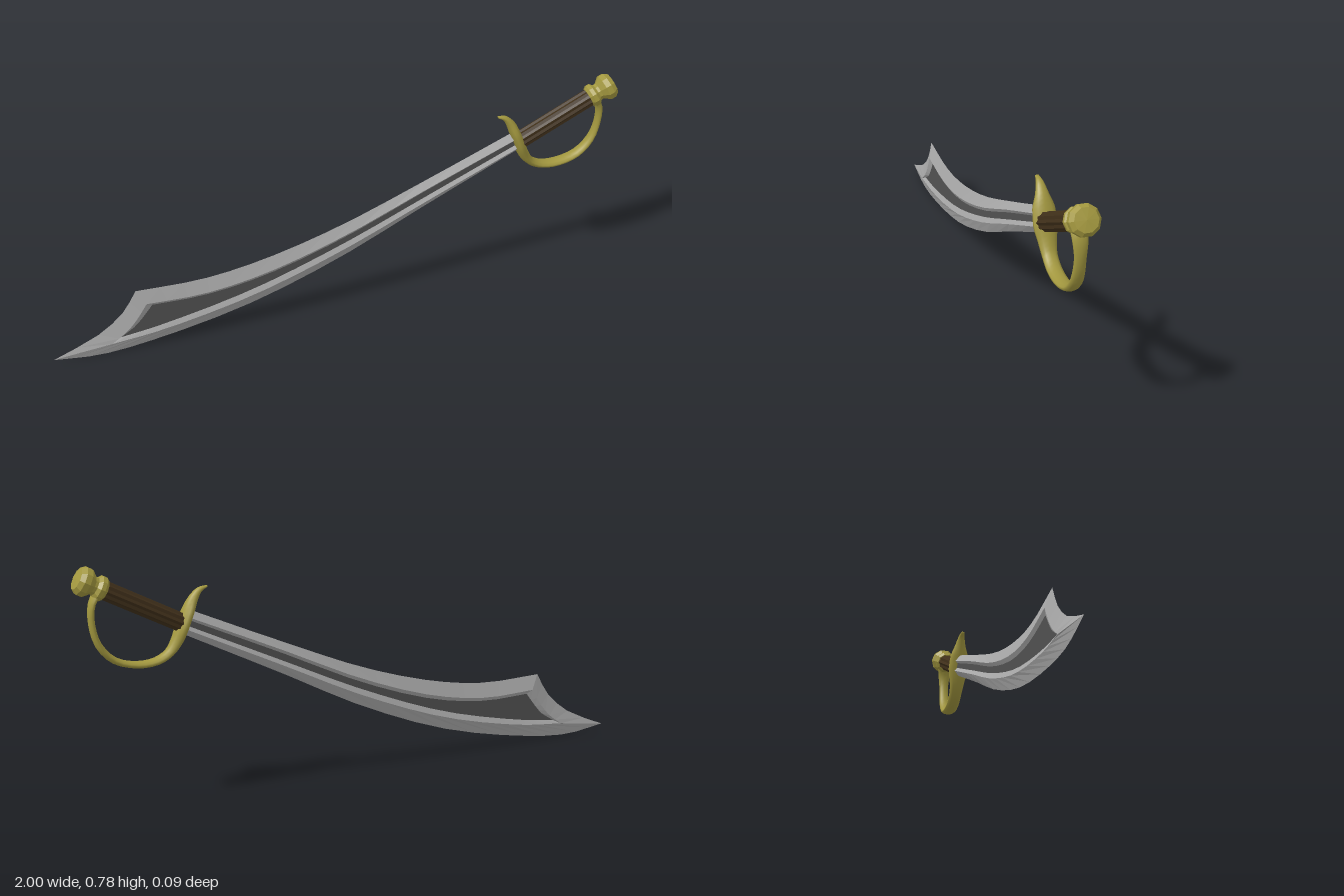
import * as THREE from 'three';

const paint = (color, extra = {}) => new THREE.MeshStandardMaterial({ color, ...extra });
const steel = paint(0xaaaaaa, { flatShading: true, side: THREE.DoubleSide });
const darkSteel = paint(0x525252, { flatShading: true });
const brass = paint(0xa3983f);
const facetedBrass = paint(0xa3983f, { flatShading: true });
const wood = paint(0x40301a, { flatShading: true });

// Hilt axis: starts at the guard and climbs towards the pommel
const HILT = new THREE.Vector3(0.661, 0.586, 0);
const HILT_ANGLE = THREE.MathUtils.degToRad(27.3);

function named(name, geometry, material) {
  const mesh = new THREE.Mesh(geometry, material);
  mesh.name = name;
  return mesh;
}

function surface(positions, index) {
  const g = new THREE.BufferGeometry();
  g.setAttribute('position', new THREE.Float32BufferAttribute(positions, 3));
  g.setIndex(index);
  g.computeVertexNormals();
  return g;
}

const curve = (pts) => new THREE.CatmullRomCurve3(pts.map(([x, y]) => new THREE.Vector3(x, y, 0)));

// Closed outline: spine (guard to corner), clipped point, cutting edge (back to guard)
function outline(spine, clip, edge) {
  const a = curve(spine).getPoints(14), b = curve(clip).getPoints(6), c = curve(edge).getPoints(16);
  return [...a.slice(0, -1), ...b.slice(0, -1), ...c];
}

function createBlade() {
  const rings = [
    { z: 0, pts: outline(
      [[0.65, 0.632], [0.33, 0.492], [0.01, 0.36], [-0.26, 0.28], [-0.47, 0.247], [-0.7, 0.25]],
      [[-0.7, 0.25], [-0.75, 0.168], [-0.84, 0.092], [-1, 0.02]],
      [[-1, 0.02], [-0.84, 0.002], [-0.63, 0.025], [-0.31, 0.098], [0.01, 0.222], [0.33, 0.385], [0.65, 0.545]]) },
    { z: 0.016, pts: outline(
      [[0.65, 0.607], [0.33, 0.465], [0.01, 0.32], [-0.26, 0.23], [-0.47, 0.195], [-0.67, 0.198]],
      [[-0.67, 0.198], [-0.71, 0.135], [-0.75, 0.09], [-0.8, 0.053]],
      [[-0.8, 0.053], [-0.63, 0.071], [-0.31, 0.143], [0.01, 0.262], [0.33, 0.414], [0.65, 0.565]]) },
    { z: 0.008, pts: outline(
      [[0.65, 0.598], [0.33, 0.454], [0.01, 0.307], [-0.26, 0.216], [-0.47, 0.182], [-0.65, 0.184]],
      [[-0.65, 0.184], [-0.69, 0.132], [-0.72, 0.1], [-0.77, 0.068]],
      [[-0.77, 0.068], [-0.63, 0.088], [-0.31, 0.163], [0.01, 0.282], [0.33, 0.429], [0.65, 0.578]]) },
  ];
  const n = rings[0].pts.length;
  const blade = new THREE.Group();
  blade.name = 'blade';

  for (const side of [1, -1]) {
    const label = side > 0 ? 'front' : 'back';
    const tri = (a, b, c) => (side > 0 ? [a, b, c] : [a, c, b]);
    // Outer bevel and sloping rim around the sunken panel
    const pos = rings.flatMap(({ z, pts }) => pts.flatMap((p) => [p.x, p.y, z * side]));
    const index = [];
    for (let r = 0; r < 2; r++) {
      for (let i = 0; i < n; i++) {
        const j = (i + 1) % n, o = r * n, q = o + n;
        index.push(...tri(o + i, o + j, q + j), ...tri(o + i, q + j, q + i));
      }
    }
    blade.add(named(label + 'Bevels', surface(pos, index), steel));
    // Dark sunken panel
    const inner = rings[2].pts;
    const faces = THREE.ShapeUtils.triangulateShape(inner.map((p) => new THREE.Vector2(p.x, p.y)), []);
    blade.add(named(label + 'Panel', surface(
      inner.flatMap((p) => [p.x, p.y, rings[2].z * side]),
      faces.flatMap(([a, b, c]) => tri(a, b, c))), darkSteel));
  }
  return blade;
}

// Guard and knuckle bow: oval sections swept along one curved path
function createGuard() {
  // x, y, half thickness, half width
  const stations = [
    [0.57, 0.694, 0.003, 0.006], [0.596, 0.684, 0.009, 0.012], [0.618, 0.657, 0.015, 0.021],
    [0.636, 0.62, 0.018, 0.035], [0.655, 0.576, 0.019, 0.038], [0.675, 0.53, 0.018, 0.029],
    [0.702, 0.493, 0.014, 0.024], [0.745, 0.47, 0.012, 0.024], [0.81, 0.466, 0.011, 0.024],
    [0.88, 0.488, 0.011, 0.022], [0.927, 0.54, 0.011, 0.02], [0.946, 0.61, 0.01, 0.018],
    [0.942, 0.672, 0.01, 0.024], [0.918, 0.712, 0.012, 0.028],
  ];
  const path = curve(stations);
  const sizes = new THREE.CatmullRomCurve3(stations.map((s) => new THREE.Vector3(s[2], s[3], 0)));
  const steps = 39, sides = 10, pos = [], index = [];
  for (let i = 0; i <= steps; i++) {
    const p = path.getPoint(i / steps), t = path.getTangent(i / steps), s = sizes.getPoint(i / steps);
    for (let j = 0; j < sides; j++) {
      const a = (j / sides) * Math.PI * 2, k = Math.cos(a) * s.x;
      pos.push(p.x - t.y * k, p.y + t.x * k, Math.sin(a) * s.y);
      if (i === steps) continue;
      const u = i * sides + j, v = i * sides + ((j + 1) % sides);
      index.push(u, v, v + sides, u, v + sides, u + sides);
    }
  }
  // Close both ends
  for (let j = 1; j < sides - 1; j++) {
    const e = steps * sides;
    index.push(0, j + 1, j, e, e + j, e + j + 1);
  }
  return named('guardAndKnuckleBow', surface(pos, index), brass);
}

function createHilt() {
  const hilt = new THREE.Group();
  hilt.name = 'hilt';
  hilt.position.copy(HILT);
  hilt.rotation.z = HILT_ANGLE - Math.PI / 2;

  // Fluted grip: every other corner is pulled in
  const grip = new THREE.CylinderGeometry(0.031, 0.031, 0.3, 20, 1);
  const p = grip.attributes.position;
  for (let i = 0; i < p.count; i++) {
    const corner = Math.round((Math.atan2(p.getX(i), p.getZ(i)) / (Math.PI * 2)) * 20);
    const k = Math.abs(corner) % 2 ? 0.87 : 1;
    p.setXYZ(i, p.getX(i) * k, p.getY(i) + 0.15, p.getZ(i) * k);
  }
  grip.computeVertexNormals();
  hilt.add(named('grip', grip, wood));

  // Collar and flared pommel
  const profile = [
    [0, 0.27], [0.033, 0.27], [0.041, 0.28], [0.041, 0.293], [0.03, 0.303], [0.03, 0.312],
    [0.047, 0.332], [0.047, 0.35], [0.036, 0.364], [0, 0.367],
  ].map(([r, y]) => new THREE.Vector2(r, y));
  hilt.add(named('pommel', new THREE.LatheGeometry(profile, 10), facetedBrass));
  return hilt;
}

export function createModel() {
  const model = new THREE.Group();
  model.name = 'curvedSword';
  model.add(createBlade(), createGuard(), createHilt());
  return model;
}
